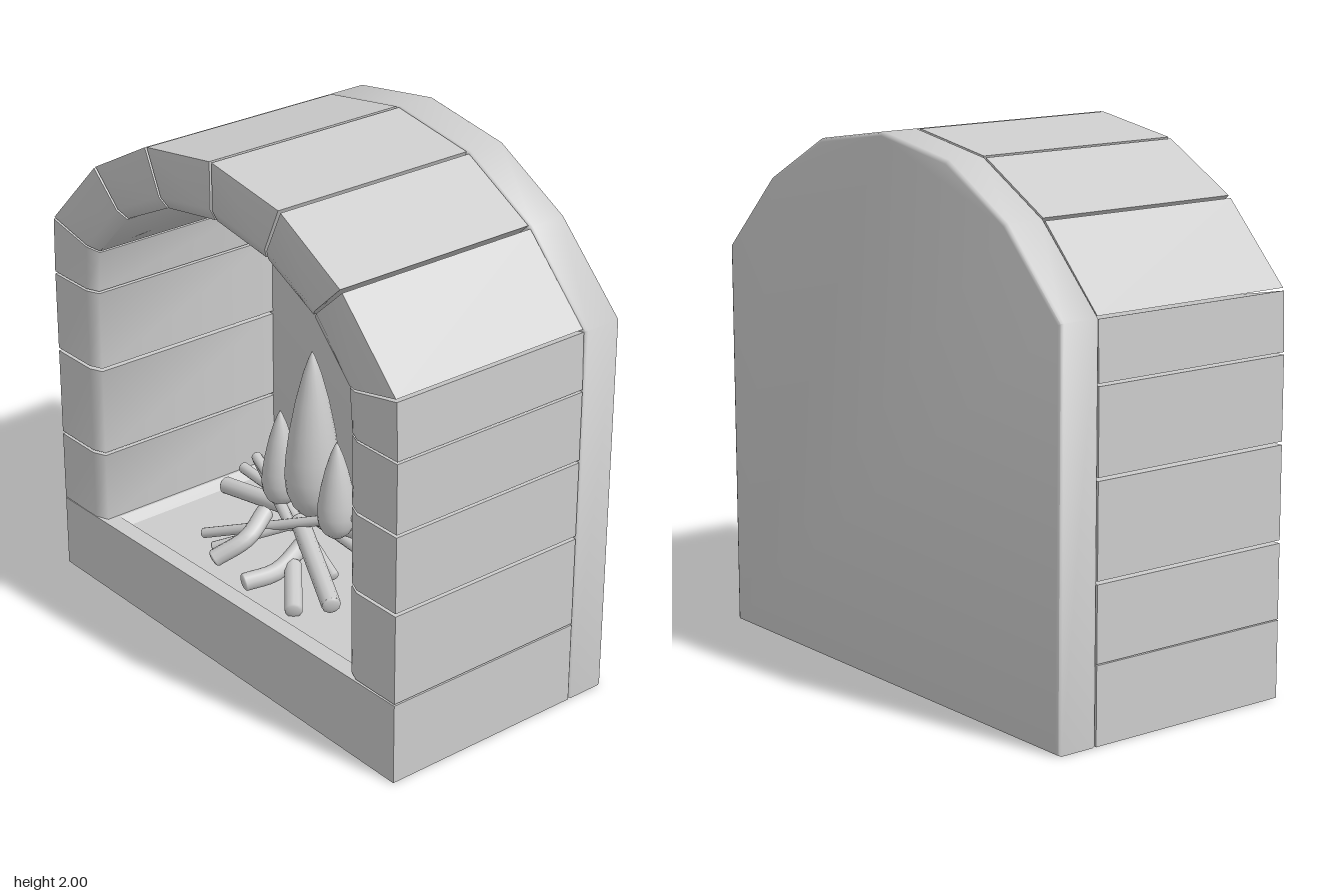
import * as THREE from 'three';
import { toCreasedNormals, mergeVertices } from 'three/addons/utils/BufferGeometryUtils.js';

const FRONT = 0.5, PLATE = -0.335, BACK = -0.5;
const V = (x, y, z) => new THREE.Vector3(x, y, z);
const grey = new THREE.MeshStandardMaterial({ color: 0xcccccc });

function add(parent, name, geometry) {
  const mesh = new THREE.Mesh(geometry, grey);
  mesh.name = name;
  parent.add(mesh);
  return mesh;
}

// Extrudes an outline in the xy plane between two depths
function slab(points, z0, z1, bevel = 0) {
  const shape = new THREE.Shape(points.map(([x, y]) => new THREE.Vector2(x, y)));
  const g = new THREE.ExtrudeGeometry(shape, {
    depth: z1 - z0 - 2 * bevel, bevelEnabled: bevel > 0, bevelSegments: 2,
    bevelSize: bevel, bevelThickness: bevel, bevelOffset: -bevel,
  });
  return g.translate(0, 0, z0 + bevel);
}

// One stone between two joints; each joint is [outer point, inner point]
function stoneGeometry(a, b) {
  const mix = (p, q, t) => [p[0] + (q[0] - p[0]) * t, p[1] + (q[1] - p[1]) * t];
  const gap = 0.018;
  // cross-section with a softened inner front edge
  const ring = (o, i) => {
    const soft = mix(i, o, 0.2);
    return [V(...o, FRONT), V(...soft, FRONT), V(...i, FRONT - 0.022), V(...i, PLATE), V(...o, PLATE)];
  };
  const ra = ring(mix(a[0], b[0], gap), mix(a[1], b[1], gap));
  const rb = ring(mix(b[0], a[0], gap), mix(b[1], a[1], gap));
  const n = ra.length, index = [];
  for (let j = 0; j < n; j++) {
    const k = (j + 1) % n;
    index.push(j, k, n + k, j, n + k, n + j);
    if (j > 0 && j < n - 1) index.push(0, j + 1, j, n, n + j, n + j + 1);
  }
  const g = new THREE.BufferGeometry().setFromPoints([...ra, ...rb]);
  g.setIndex(index);
  return toCreasedNormals(g, 1.22);
}

// Rounded-end log following a few points
function logGeometry(points, r) {
  const path = points.length > 2 ? new THREE.CatmullRomCurve3(points) : new THREE.LineCurve3(...points);
  const steps = points.length > 2 ? 10 : 1;
  const tube = new THREE.TubeGeometry(path, steps, r, 10, false);
  return tube;
}

export function createModel() {
  const model = new THREE.Group();
  model.name = 'fireplace';

  // Hearth base: a U-shaped body with a shallow recess, closed by a front lip
  const base = new THREE.Group();
  base.name = 'base';
  model.add(base);
  add(base, 'hearthFloor', slab([
    [-0.985, 0], [0.985, 0], [0.985, 0.315], [0.72, 0.311], [0.68, 0.275],
    [-0.68, 0.265], [-0.72, 0.292], [-0.985, 0.288],
  ], PLATE, 0.43));
  add(base, 'hearthLip', slab([[-0.985, 0], [0.985, 0], [0.985, 0.315], [-0.985, 0.288]], 0.43, FRONT));

  // Back plate with the faceted arch outline
  const half = [[0.985, 0], [0.985, 1.475], [0.695, 1.765], [0.375, 1.94]];
  const mirrored = half.map(([x, y]) => [-x, y]).reverse();
  const plate = slab([...half, [0, 2], ...mirrored], BACK, PLATE, 0.014);
  plate.deleteAttribute('uv');
  plate.deleteAttribute('normal');
  add(model, 'backPlate', toCreasedNormals(mergeVertices(plate), 0.9));

  // Stone surround: joints run up one side, over the arch and down the other
  const level = (s, y) => [[s * 0.985, y], [s * 0.73, y]];
  const arch = [
    [[-0.978, 1.475], [-0.715, 1.42]], [[-0.695, 1.765], [-0.53, 1.612]], [[-0.375, 1.94], [-0.28, 1.735]],
  ];
  const flip = arch.map((joint) => joint.map(([x, y]) => [-x, y])).reverse();
  const joints = [
    ...[0.287, 0.575, 0.932, 1.252].map((y) => level(-1, y)),
    ...arch, [[0, 2], [0, 1.78]], ...flip,
    ...[1.252, 0.978, 0.675, 0.315].map((y) => level(1, y)),
  ];
  const surround = new THREE.Group();
  surround.name = 'stoneSurround';
  model.add(surround);
  for (let i = 0; i + 1 < joints.length; i++) {
    add(surround, `stone${i + 1}`, stoneGeometry(joints[i], joints[i + 1]));
  }

  // Crossed logs
  const logs = new THREE.Group();
  logs.name = 'logs';
  model.add(logs);
  const logList = [
    [0.034, V(-0.54, 0.375, 0.05), V(0.52, 0.49, -0.06)],
    [0.022, V(-0.56, 0.41, -0.05), V(0.55, 0.37, 0.0)],
    [0.022, V(-0.47, 0.49, -0.05), V(-0.05, 0.43, 0.12)],
    [0.036, V(-0.05, 0.44, 0.08), V(0.38, 0.35, 0.28)],
    [0.02, V(-0.38, 0.315, 0.28), V(0.33, 0.595, -0.04)],
    [0.018, V(-0.27, 0.32, 0.32), V(-0.02, 0.45, 0.08)],
    [0.034, V(-0.155, 0.35, 0.4), V(-0.1, 0.42, 0.29), V(-0.13, 0.48, 0.18)],
    [0.034, V(0, 0.31, 0.38), V(0.04, 0.33, 0.26), V(0.02, 0.4, 0.1)],
    [0.034, V(0.25, 0.295, 0.35), V(0.06, 0.34, 0.2)],
    [0.02, V(-0.44, 0.52, -0.02), V(0.2, 0.33, 0.12)],
  ];
  logList.forEach(([r, ...points], i) => {
    add(logs, `log${i + 1}`, logGeometry(points, r));
    for (const end of [points[0], points[points.length - 1]]) {
      const knob = add(logs, `log${i + 1}End`, new THREE.SphereGeometry(r, 10, 8));
      knob.position.copy(end);
      const next = end === points[0] ? points[1] : points[points.length - 2];
      knob.quaternion.setFromUnitVectors(V(0, 1, 0), end.clone().sub(next).normalize());
      knob.scale.y = 0.35;
    }
  });

  // Flames: pointed drops, radius and height as fractions
  const profile = [
    [0, 0], [0.42, 0.02], [0.72, 0.07], [0.93, 0.15], [1, 0.25], [0.95, 0.37],
    [0.82, 0.52], [0.6, 0.7], [0.32, 0.87], [0.12, 0.96], [0, 1],
  ];
  const flames = new THREE.Group();
  flames.name = 'flames';
  model.add(flames);
  const flameList = [
    ['middleFlame', -0.035, 0.455, 0.03, 0.105, 0.68],
    ['rightFlame', -0.2, 0.44, 0.05, 0.073, 0.395],
    ['leftFlame', 0.13, 0.44, 0.05, 0.073, 0.395],
  ];
  for (const [name, x, y, z, r, h] of flameList) {
    const points = profile.map(([a, b]) => new THREE.Vector2(a * r, b * h));
    add(flames, name, new THREE.LatheGeometry(points, 20)).position.set(x, y, z);
  }
  return model;
}
